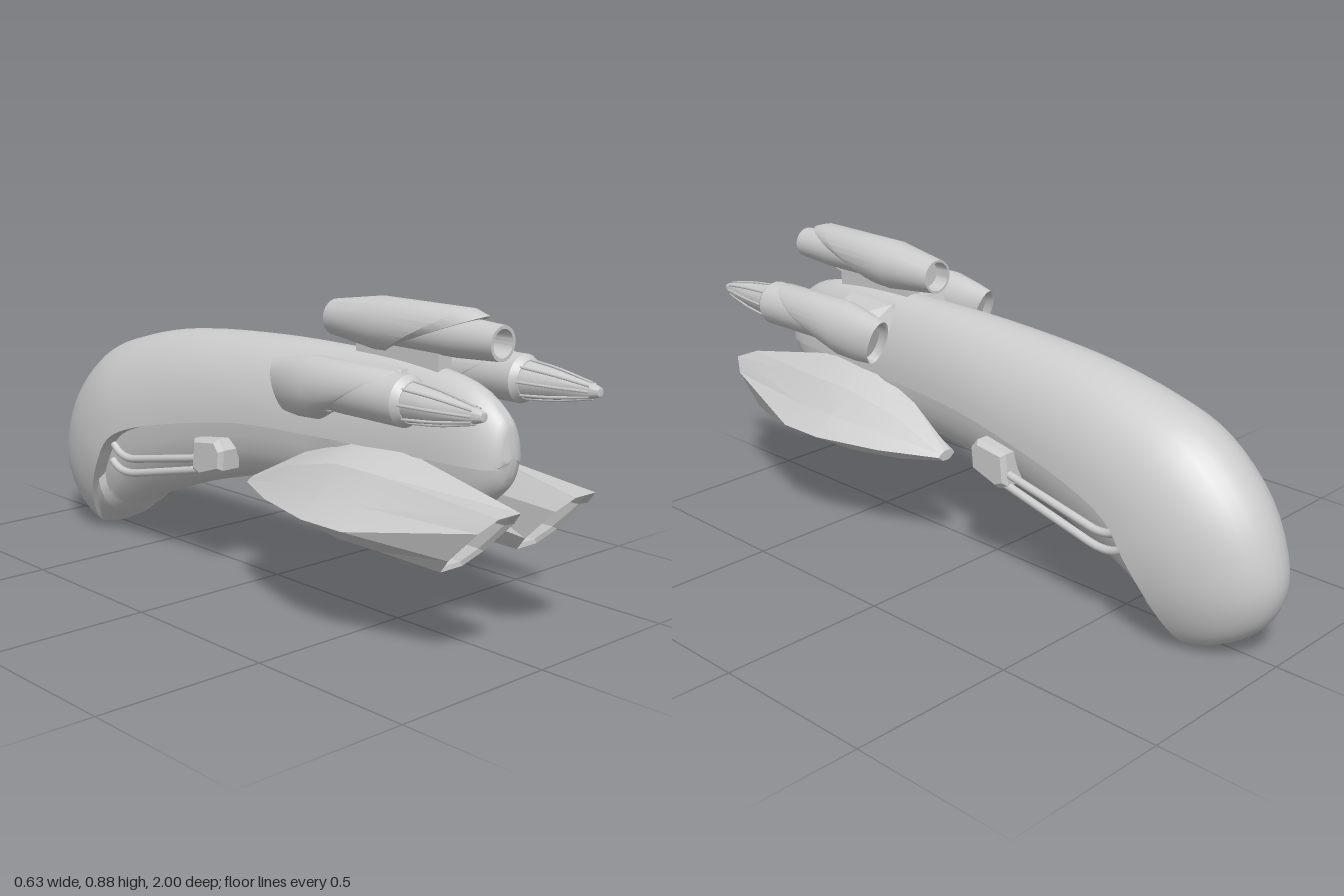
import * as THREE from 'three';
import { toCreasedNormals } from 'three/addons/utils/BufferGeometryUtils.js';

const material = new THREE.MeshStandardMaterial({ color: 0xcccccc, side: THREE.DoubleSide });
const V = (x, y, z) => new THREE.Vector3(x, y, z);

function add(parent, name, geometry) {
  const mesh = new THREE.Mesh(geometry, material);
  mesh.name = name;
  parent.add(mesh);
  return mesh;
}

// Skin closed rings (counterclockwise from the front, ordered front to back) and cap both ends
function loft(rings, crease = 0.5) {
  const n = rings[0].length, pos = [], idx = [];
  rings.forEach(r => r.forEach(p => pos.push(p.x, p.y, p.z)));
  for (let i = 0; i < rings.length - 1; i++) {
    for (let j = 0; j < n; j++) {
      const a = i * n + j, b = i * n + (j + 1) % n, c = a + n, d = b + n;
      idx.push(a, c, b, b, c, d);
    }
  }
  [0, rings.length - 1].forEach((i, end) => {
    const c = rings[i].reduce((s, p) => s.add(p), V(0, 0, 0)).divideScalar(n);
    const k = pos.length / 3;
    pos.push(c.x, c.y, c.z);
    for (let j = 0; j < n; j++) {
      const a = i * n + j, b = i * n + (j + 1) % n;
      end ? idx.push(k, b, a) : idx.push(k, a, b);
    }
  });
  const g = new THREE.BufferGeometry();
  g.setAttribute('position', new THREE.Float32BufferAttribute(pos, 3));
  g.setIndex(idx);
  return toCreasedNormals(g, crease);
}

// Turned part along z from [z, radius] pairs
function turned(points, sides = 24) {
  const g = new THREE.LatheGeometry(points.map(([z, r]) => new THREE.Vector2(r, z)), sides);
  return toCreasedNormals(g.rotateX(Math.PI / 2), 0.5);
}

// Elliptical ring whose top and bottom can sit at different z
function ring(y, rx, ry, zTop, zBottom, n = 28) {
  return Array.from({ length: n }, (_, j) => {
    const a = j / n * Math.PI * 2, s = Math.sin(a);
    return V(rx * Math.cos(a), y + ry * s, (zTop + zBottom) / 2 + s * (zTop - zBottom) / 2);
  });
}

function hullGeometry() {
  // top z,y | side edge z,y | keel z,y | half width
  const stations = [
    [.88, .57, .885, .52, .88, .48, .015],
    [.86, .63, .86, .50, .85, .43, .055],
    [.75, .70, .77, .50, .75, .36, .085],
    [.55, .73, .55, .50, .55, .335, .105],
    [.30, .735, .30, .50, .30, .33, .13],
    [0, .73, 0, .49, 0, .31, .158],
    [-.35, .705, -.30, .44, -.25, .25, .18],
    [-.60, .655, -.48, .395, -.45, .18, .195],
    [-.78, .585, -.58, .345, -.55, .14, .2],
    [-.93, .44, -.64, .26, -.63, .10, .198],
    [-1, .27, -.695, .17, -.69, .06, .178],
    [-.985, .15, -.735, .09, -.74, .035, .145],
    [-.91, .06, -.765, .03, -.77, .015, .10],
    [-.79, .005, -.785, .008, -.785, .005, .04],
  ];
  const curve = f => new THREE.CatmullRomCurve3(stations.map(f), false, 'catmullrom', .5);
  const top = curve(s => V(s[6], s[1], s[0]));
  const edge = curve(s => V(0, s[3], s[2]));
  const keel = curve(s => V(0, s[5], s[4]));
  const rings = [], steps = 52;
  for (let i = 0; i <= steps; i++) {
    const t = i / steps, T = top.getPoint(t), E = edge.getPoint(t), B = keel.getPoint(t);
    const w = T.x, r = [];
    T.x = 0;
    // Rounded upper shell
    for (let j = 0; j <= 20; j++) {
      const a = j / 20 * Math.PI;
      const p = E.clone().lerp(T, Math.sin(a));
      p.x = w * Math.cos(a);
      r.push(p);
    }
    // Narrower keel set in under the shell edge
    const k = w * (t > .3 && t < .75 ? .77 : .88);
    for (let j = 0; j <= 12; j++) {
      const a = Math.PI * (1 + j / 12), c = Math.cos(a);
      const p = E.clone().lerp(B, -Math.sin(a));
      p.x = k * Math.sign(c) * Math.abs(c) ** .8;
      r.push(p);
    }
    rings.push(r);
  }
  return loft(rings, .7);
}

// Faceted lower nacelle with a slanted, recessed octagonal mouth
function nacelleGeometry() {
  const mouth = [[.105, .43], [.185, .43], [.21, .39], [.21, .3], [.185, .255], [.105, .255], [.08, .3], [.08, .39]];
  const belly = [[.09, .51], [.2, .465], [.255, .39], [.315, .335], [.18, .256], [.11, .256], [.025, .345], [.05, .42]];
  const tail = [[.13, .35], [.15, .35], [.165, .342], [.175, .335], [.155, .32], [.13, .32], [.11, .335], [.115, .342]];
  const slant = (scale, back) => mouth.map(([x, y]) => {
    const yy = .343 + (y - .343) * scale;
    return V(.145 + (x - .145) * scale, yy, 1 - (.43 - yy) * 1.03 - back);
  });
  const blend = (a, b, t, z) => a.map((p, i) =>
    V(p[0] + (b[i][0] - p[0]) * t, p[1] + (b[i][1] - p[1]) * t, z));
  const rings = [slant(.84, .1), slant(.86, .015), slant(1, 0),
    blend(belly, tail, 0, .6), blend(belly, tail, 0, .45),
    blend(belly, tail, .42, .24), blend(belly, tail, 1, .07)];
  // Rings run clockwise above, so reverse them
  return loft(rings.map(r => r.reverse()), .25);
}

function sidePod() {
  const pod = new THREE.Group();
  pod.name = 'sidePod';
  add(pod, 'podBarrel', turned([[.35, 0], [.36, .055], [.5, .065], [.73, .066], [.75, .053], [.75, 0]]));
  add(pod, 'podNose', turned([[.74, .052], [.84, .04], [.95, .02], [.975, .012], [.978, 0]], 16));
  // Raised ribs running along the nose cone
  for (let i = 0; i < 8; i++) {
    const a = i / 8 * Math.PI * 2;
    const path = [V(.053, 0, .74), V(.042, 0, .84), V(.02, 0, .95)].map(p => p.applyAxisAngle(V(0, 0, 1), a));
    add(pod, 'noseRib', new THREE.TubeGeometry(new THREE.CatmullRomCurve3(path), 6, .004, 5));
  }
  add(pod, 'podSleeve', loft([
    ring(0, .064, .064, .7, .46), ring(0, .067, .069, .68, .46),
    ring(-.012, .066, .083, .4, .42), ring(-.022, .053, .077, .31, .35),
    ring(-.027, .036, .068, .245, .295), ring(-.027, .031, .06, .25, .3), ring(-.027, .03, .055, .28, .32),
  ]));
  pod.position.set(.22, .677, 0);
  return pod;
}

function topPod() {
  const pod = new THREE.Group();
  pod.name = 'topPod';
  // Barrel with an open muzzle
  add(pod, 'topBarrel', turned([[.35, 0], [.36, .052], [.7, .054], [.84, .046], [.84, .037], [.76, .032], [.76, 0]]));
  add(pod, 'topSleeve', loft([
    ring(.004, .06, .058, .79, .47), ring(.004, .07, .073, .74, .45),
    ring(.003, .073, .073, .42, .42), ring(0, .05, .05, .245, .245),
    ring(0, .043, .043, .245, .245), ring(0, .04, .04, .29, .29),
  ]));
  pod.position.y = .808;
  return pod;
}

// Everything that repeats on both sides
function sideParts() {
  const side = new THREE.Group();
  add(side, 'lowerNacelle', nacelleGeometry());
  side.add(sidePod());

  // Tapered strut to the side pod
  const section = (x, y0, y1, z0, z1) => [V(x, y0, z0), V(x, y0, z1), V(x, y1, z1 - .03), V(x, y1, z0 + .03)];
  add(side, 'podStrut', loft([
    section(.17, .657, .7, .37, .53), section(.07, .635, .712, .34, .59), section(.03, .635, .712, .34, .59)], .1));

  // Faceted pipe housing on the keel
  const outline = [[-.055, .34], [-.05, .4], [-.075, .43], [-.185, .415], [-.195, .32], [-.16, .305]];
  const housing = (x, s) => outline.map(([z, y]) => V(x, .37 + (y - .37) * s, -.12 + (z + .12) * s));
  add(side, 'pipeHousing', loft([housing(.172, .8), housing(.16, 1), housing(.1, 1)], .1));

  // Twin pipes bending up into the shell
  [[.355, .285, .335], [.32, .24, .27]].forEach(([a, b, c]) => {
    const path = new THREE.CurvePath();
    const p = [V(.15, a, -.17), V(.155, b + .01, -.48), V(.157, b - .01, -.57), V(.157, c, -.61)];
    path.add(new THREE.LineCurve3(p[0], p[1]));
    path.add(new THREE.QuadraticBezierCurve3(p[1], p[2], p[3]));
    add(side, 'pipe', new THREE.TubeGeometry(path, 24, .012, 10));
  });
  return side;
}

export function createModel() {
  const model = new THREE.Group();
  model.name = 'spacecraft';
  add(model, 'hull', hullGeometry());
  model.add(topPod());
  add(model, 'topPylon', new THREE.BoxGeometry(.05, .07, .3)).position.set(0, .735, .5);

  const left = sideParts(), right = sideParts();
  left.name = 'leftSide';
  right.name = 'rightSide';
  right.scale.x = -1;
  model.add(left, right);
  return model;
}
